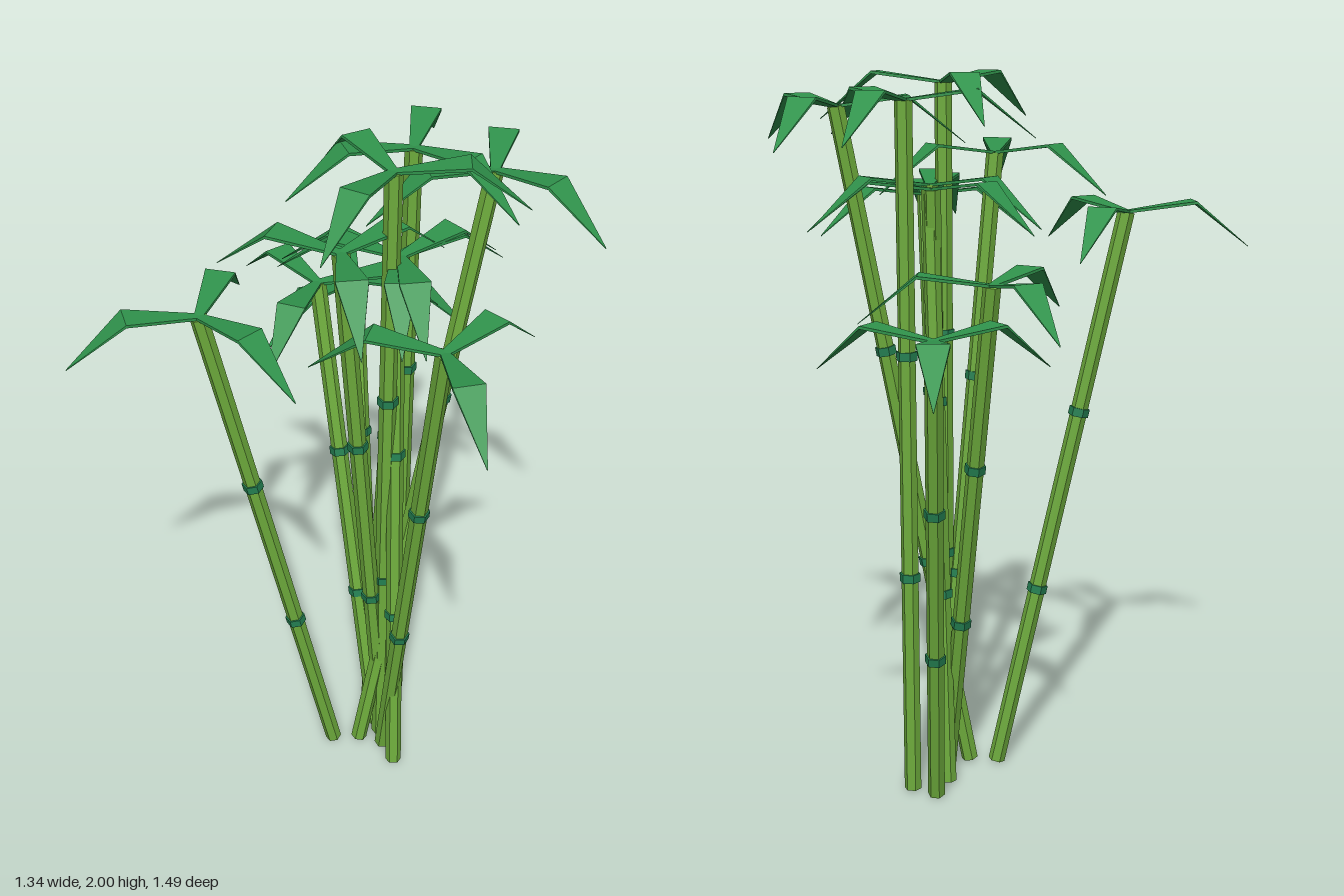
import * as THREE from 'three';

// [base x, base z, top x, top y, top z, heading of first leaf in degrees]
const STALKS = [
  [0.02, 0.01, -0.33, 1.62, -0.08, 195],
  [0.14, 0.11, 0.09, 1.64, 0.41, 107],
  [0.26, -0.14, 0.35, 1.36, -0.42, -71],
  [0.17, 0.02, 0.15, 1.47, -0.30, -97],
  [0.31, -0.08, 0.31, 1.93, -0.08, -47],
  [0.09, 0.05, 0.44, 1.91, 0.10, -48],
  [0.18, 0.05, 0.00, 1.78, 0.07, -127],
  [0.16, 0.06, 0.145, 1.97, 0.08, -88],
  [0.13, 0.19, 0.20, 1.69, 0.02, 0],
  [0.20, -0.07, 0.20, 1.70, 0.04, -8],
];

// Bent leaf along +x: thin flat strip, sections are [reach, height, half width, half thickness]
function leafGeometry() {
  const sections = [[0, 0, 0.012, 0.004], [0.19, 0.026, 0.041, 0.004], [0.347, -0.1, 0.001, 0.001]];
  const ring = ([x, y, w, t]) => [[x, y + t, -w], [x, y + t, w], [x, y - t, w], [x, y - t, -w]];
  const pos = [];
  for (let s = 0; s < sections.length - 1; s++) {
    const a = ring(sections[s]), b = ring(sections[s + 1]);
    for (let i = 0; i < 4; i++) {
      const j = (i + 1) % 4;
      pos.push(...a[i], ...a[j], ...b[j], ...a[i], ...b[j], ...b[i]);
    }
  }
  const geo = new THREE.BufferGeometry();
  geo.setAttribute('position', new THREE.Float32BufferAttribute(pos, 3));
  geo.computeVertexNormals();
  return geo;
}

export function createModel() {
  const material = (name, color) => {
    const m = new THREE.MeshStandardMaterial({ color, flatShading: true });
    m.name = name;
    return m;
  };
  const stalkGreen = material('stalk green', 0x6dab3c);
  const jointGreen = material('joint green', 0x248052);
  const leafGreen = material('leaf green', 0x30934c);
  leafGreen.side = THREE.DoubleSide;

  const jointGeo = new THREE.CylinderGeometry(0.029, 0.029, 0.024, 6);
  const leafGeo = leafGeometry();
  const up = new THREE.Vector3(0, 1, 0);
  const model = new THREE.Group();
  model.name = 'bambooCluster';

  const add = (parent, name, geo, mat) => {
    const mesh = new THREE.Mesh(geo, mat);
    mesh.name = name;
    parent.add(mesh);
    return mesh;
  };

  for (const [bx, bz, tx, ty, tz, heading] of STALKS) {
    const plant = new THREE.Group();
    plant.name = 'bambooStalk';
    model.add(plant);

    // Leaning cane
    const base = new THREE.Vector3(bx, 0.006, bz);
    const top = new THREE.Vector3(tx, ty, tz);
    const axis = top.clone().sub(base);
    const length = axis.length();
    const cane = new THREE.Group();
    cane.name = 'cane';
    cane.position.copy(base);
    cane.quaternion.setFromUnitVectors(up, axis.normalize());
    plant.add(cane);
    add(cane, 'stalk', new THREE.CylinderGeometry(0.024, 0.024, length, 6), stalkGreen).position.y = length / 2;

    // Joints at about each third
    for (const f of [0.329, 0.652]) add(cane, 'joint', jointGeo, jointGreen).position.y = length * f;

    // Three drooping leaves on top
    for (let i = 0; i < 3; i++) {
      const leaf = add(plant, 'leaf', leafGeo, leafGreen);
      leaf.position.copy(top);
      leaf.rotation.y = -THREE.MathUtils.degToRad(heading + i * 120);
    }
  }
  return model;
}
